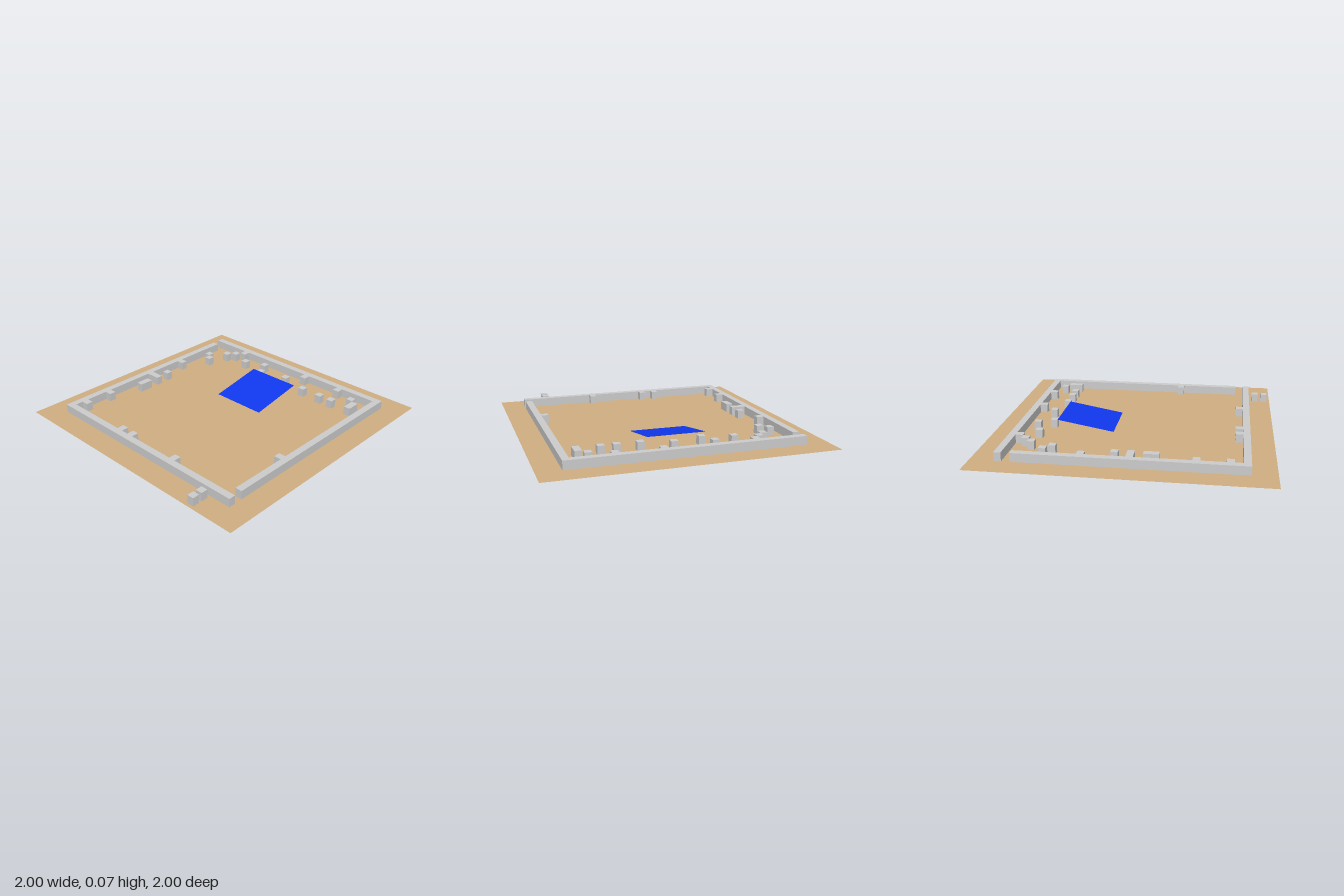
import * as THREE from 'three';

const CELL = 0.0538; // grid pitch
const SIZE = 0.05; // block width
const HEIGHT = 0.062;
const OUTER = 0.832; // outer face of the walls
const INNER = 0.782; // inner face of the walls

export function createModel() {
  const model = new THREE.Group();
  const grey = new THREE.MeshStandardMaterial({ color: 0xcccccc });
  const sand = new THREE.MeshStandardMaterial({ color: 0xcfae82, side: THREE.DoubleSide });
  const blue = new THREE.MeshStandardMaterial({ color: 0x1038ee, side: THREE.DoubleSide });

  // Box standing on the ground, given by its plan bounds
  function box(name, x0, x1, z0, z1) {
    const mesh = new THREE.Mesh(new THREE.BoxGeometry(x1 - x0, HEIGHT, z1 - z0), grey);
    mesh.position.set((x0 + x1) / 2, HEIGHT / 2, (z0 + z1) / 2);
    mesh.name = name;
    model.add(mesh);
  }
  const lo = (i) => i * CELL - SIZE / 2;
  const hi = (i) => i * CELL + SIZE / 2;

  // Ground sheet
  const ground = new THREE.Mesh(new THREE.PlaneGeometry(2, 2).rotateX(-Math.PI / 2), sand);
  ground.name = 'ground';
  model.add(ground);

  // Tilted blue panel, its inner edge on the ground
  const panel = new THREE.Mesh(new THREE.PlaneGeometry(0.42, 0.42).rotateX(-Math.PI / 2), blue);
  panel.rotation.z = THREE.MathUtils.degToRad(10);
  panel.position.set(0.352, 0.0365, 0);
  panel.name = 'tiltedPanel';
  model.add(panel);

  // Perimeter walls, with openings at two opposite corners
  box('rightWall', -OUTER, -INNER, -OUTER, OUTER);
  box('leftWall', INNER, OUTER, -OUTER, OUTER);
  box('backWall', -INNER, 0.725, -OUTER, -INNER);
  box('frontWall', -0.725, INNER, INNER, OUTER);

  // Stubs attached to the inner faces of the walls
  for (const j of [-5, -3, 5]) box('rightWallStub', -INNER, hi(-14), lo(j), hi(j));
  for (const j of [-9, 3, 9]) box('leftWallStub', lo(14), INNER, lo(j), hi(j));
  for (const [i, depth] of [[-13, -14], [-9, -14], [-1, -13], [5, -14]])
    box('backWallStub', lo(i), hi(i), -INNER, hi(depth));
  box('frontWallStub', lo(-5), hi(-5), lo(14), INNER);

  // Loose blocks: column, row, optional last column
  const blocks = [
    [-4, -13, -3], [1, -13], [10, -13], [9, -12], [12, -11], [13, -10],
    [12, -7], [13, -4], [11, -3], [12, 1], [11, 5], [11, 8], [11, 10],
    [13, 12], [11, 13, 12],
  ];
  for (const [i, j, last = i] of blocks) box('looseBlock', lo(i), hi(last), lo(j), hi(j));

  // Two blocks outside the wall
  for (const x of [-0.952, -0.881])
    box('outerBlock', x - SIZE / 2, x + SIZE / 2, lo(12), hi(12));

  return model;
}
